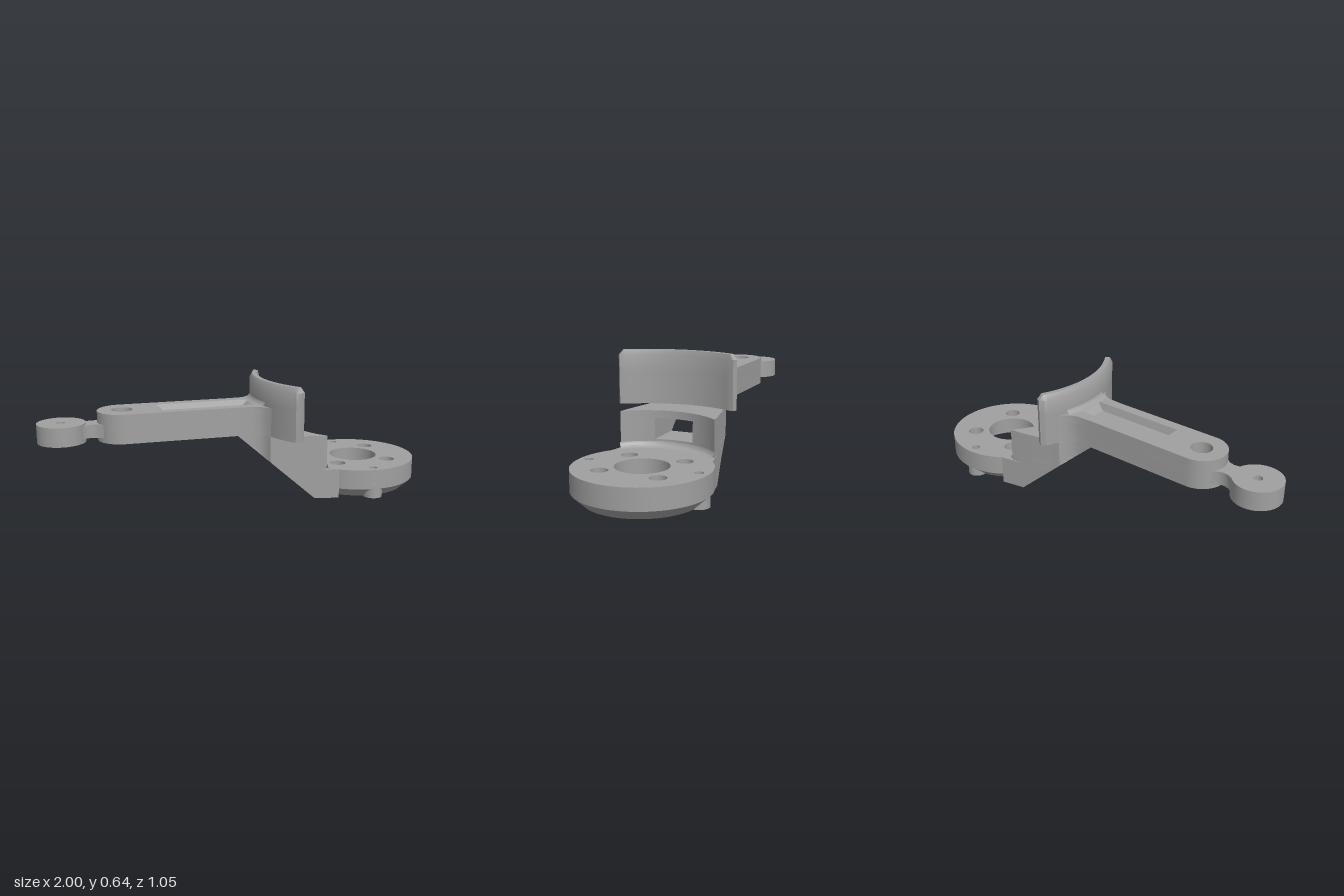
import * as THREE from 'three';
import { toCreasedNormals } from 'three/addons/utils/BufferGeometryUtils.js';

// Local frame: origin at the mounting disc centre, +x (u) along the arm, shapes drawn as (u, w).
const CX = 0.66, CZ = 0.18, TILT = 0.3623;
const C = Math.cos(TILT), S = Math.sin(TILT);
const toLocal = (x, z) => [-C * (x - CX) - S * (z - CZ), -S * (x - CX) + C * (z - CZ)];

// Half width of the neck along u: wide at the disc, narrowing to the arm
const WIDTH = [[0.2, 0.275], [0.27, 0.26], [0.34, 0.246], [0.45, 0.222], [0.57, 0.2],
  [0.585, 0.17], [0.61, 0.147], [0.65, 0.134], [0.73, 0.13]];
function halfWidth(u) {
  for (let i = 1; i < WIDTH.length; i++) {
    const [a, p] = WIDTH[i - 1], [b, q] = WIDTH[i];
    if (u <= b) return p + (q - p) * Math.max(0, (u - a) / (b - a));
  }
  return 0.13;
}
const slopeEnd = (y) => 0.33 + 0.4 * y / 0.35;

const polygon = (pts) => new THREE.Shape(pts.map(([u, w]) => new THREE.Vector2(u, w)));
const circle = (u, w, r) => new THREE.Shape().absarc(u, w, r, 0, Math.PI * 2, false);
function slab(shape, y0, y1, holes = [], steps = 1) {
  shape.holes.push(...holes);
  const g = new THREE.ExtrudeGeometry(shape, { depth: y1 - y0, bevelEnabled: false, curveSegments: 40, steps });
  return g.rotateX(-Math.PI / 2).translate(0, y0, 0);
}
function arc(r, a0, a1, n = 16) {
  return Array.from({ length: n + 1 }, (_, i) => {
    const a = a0 + (a1 - a0) * i / n;
    return [r * Math.cos(a), r * Math.sin(a)];
  });
}
// Trims a slab to the sloping underside of the neck
function trim(g) {
  const p = g.attributes.position;
  for (let i = 0; i < p.count; i++) {
    const u = p.getX(i), w = p.getZ(i), u2 = Math.min(u, slopeEnd(p.getY(i)));
    p.setX(i, u2);
    if (Math.abs(w) > 0.12) p.setZ(i, w * halfWidth(u2) / halfWidth(u));
  }
  return g;
}

export function createModel() {
  const model = new THREE.Group();
  const body = new THREE.Group();
  body.name = 'bracket';
  body.position.set(CX, 0, CZ);
  body.rotation.y = Math.PI - TILT;
  model.add(body);
  const metal = new THREE.MeshStandardMaterial({ color: 0xa0a0a0, side: THREE.DoubleSide });
  metal.name = 'grey metal';
  const add = (name, geometry) => {
    const mesh = new THREE.Mesh(toCreasedNormals(geometry, 0.55), metal);
    mesh.name = name;
    body.add(mesh);
  };
  const lathe = (pts, a0 = 0, a1 = Math.PI * 2, n = 72) =>
    new THREE.LatheGeometry(pts.map(([r, y]) => new THREE.Vector2(r, y)), n, Math.PI / 2 + a0, a1 - a0);

  // Mounting disc: drilled plate above a chamfered, hollow rim
  const screwHoles = [[0.57, -0.015], [0.85, 0.09], [0.74, 0.37], [0.46, 0.265]].map(([x, z]) => toLocal(x, z));
  const pinHoles = [[0.76, -0.09], [0.55, 0.45]].map(([x, z]) => toLocal(x, z));
  add('discPlate', slab(circle(0, 0, 0.34), 0.08, 0.16, [
    circle(0, 0, 0.133),
    ...screwHoles.map(([u, w]) => circle(u, w, 0.042)),
    ...pinHoles.map(([u, w]) => circle(u, w, 0.022)),
  ]));
  add('discRim', lathe([[0.255, 0.08], [0.255, 0], [0.285, 0], [0.34, 0.052], [0.34, 0.08]]));
  for (const [u, w] of pinHoles) add('pinLug', slab(circle(u, w, 0.052), 0, 0.08, [circle(u, w, 0.022)]));

  // Neck, with a tunnel through it
  const side = (u0) => WIDTH.filter(([u]) => u > u0);
  const outline = (inner, u0) => polygon([
    ...inner,
    ...side(u0),
    ...side(u0).reverse().map(([u, w]) => [u, -w]),
  ]);
  const lowInner = [[0.2, -0.275], ...arc(0.27, -0.8, 0.8), [0.2, 0.275]];
  const wallAngle = Math.atan2(0.256, 0.267);
  const highInner = arc(0.37, -wallAngle, wallAngle);
  add('neckBase', trim(slab(outline(lowInner, 0.2), 0, 0.16, [], 10)));
  add('neckSill', trim(slab(outline(highInner, 0.28), 0.16, 0.2, [], 3)));
  add('neckTop', trim(slab(outline(highInner, 0.28), 0.31, 0.35, [], 3)));
  const tunnel = 0.105;
  for (const s of [1, -1]) {
    const cheek = [...arc(0.37, Math.asin(tunnel / 0.37), wallAngle, 8), ...side(0.28), [0.73, tunnel]];
    add('neckCheek', trim(slab(polygon(cheek.map(([u, w]) => [u, s * w])), 0.2, 0.31, [], 8)));
  }
  // Fillets where the neck meets the disc and the arm meets the shield
  const cove = (r0, r1, y0, y1) => [0, 1, 2, 3, 4].map((i) => {
    const a = i * Math.PI / 8;
    return [r0 + (r1 - r0) * Math.sin(a), y0 + (y1 - y0) * (1 - Math.cos(a))];
  });
  add('neckFillet', lathe(cove(0.335, 0.37, 0.16, 0.19), -0.78, 0.78, 24));
  add('shieldFillet', lathe(cove(0.632, 0.598, 0.505, 0.537), -0.24, 0.24, 12));

  // Curved shield: a bent box with a chamfered top and clipped corners
  const shield = new THREE.BoxGeometry(1, 1, 1, 1, 4, 28);
  const p = shield.attributes.position;
  for (let i = 0; i < p.count; i++) {
    const f = p.getY(i) + 0.5, t = p.getZ(i) + 0.5, top = f > 0.9, end = t < 0.01 || t > 0.99;
    let r = p.getX(i) > 0 ? 0.6 : 0.553;
    if (top || end) r += p.getX(i) > 0 ? -0.015 : 0.006;
    const y = top ? (end ? 0.609 : 0.637) : 0.35 + 0.26 * Math.min(1, f / 0.75);
    const a = THREE.MathUtils.degToRad(-38.5 + 67 * t);
    p.setXYZ(i, r * Math.cos(a), y, r * Math.sin(a));
  }
  add('shield', shield);

  // Arm with a rounded, drilled end and a shallow pocket on top
  const armEnd = 1.326, tip = 1.641;
  const armShape = () => polygon([
    [0.565, -0.2], ...side(0.57).map(([u, w]) => [u, -w]),
    ...arc(0.13, -Math.PI / 2, Math.PI / 2, 32).map(([u, w]) => [u + armEnd, w]),
    ...side(0.57).reverse(), [0.565, 0.2],
  ]);
  const bore = () => circle(armEnd, 0, 0.055);
  const pocket = polygon([[0.615, -0.073], [1.13, -0.073], [1.13, 0.073], [0.615, 0.073]]);
  add('armLower', slab(armShape(), 0.35, 0.465, [bore()]));
  add('armUpper', slab(armShape(), 0.465, 0.505, [bore(), pocket]));
  const walls = new THREE.CylinderGeometry(Math.SQRT2, Math.SQRT2 * 0.84, 0.04, 4, 1, true);
  walls.rotateY(Math.PI / 4).scale(0.2575, 1, 0.073).translate(0.8725, 0.485, 0);
  add('pocketWalls', walls);

  // Waisted link and end eye with a hexagonal recess below
  const linkSide = [[1.37, 0.115], [1.42, 0.085], [1.455, 0.055], [1.485, 0.047], [1.515, 0.052], [1.54, 0.072], [1.565, 0.095]];
  add('link', slab(polygon([...linkSide, ...linkSide.slice().reverse().map(([u, w]) => [u, -w])]), 0.375, 0.445));
  const hexagon = polygon(arc(0.055, 0, Math.PI * 5 / 3, 5).map(([u, w]) => [u + tip, w]));
  add('eyeLower', slab(circle(tip, 0, 0.125), 0.355, 0.4, [hexagon]));
  add('eyeUpper', slab(circle(tip, 0, 0.125), 0.4, 0.455, [circle(tip, 0, 0.022)]));

  return model;
}
